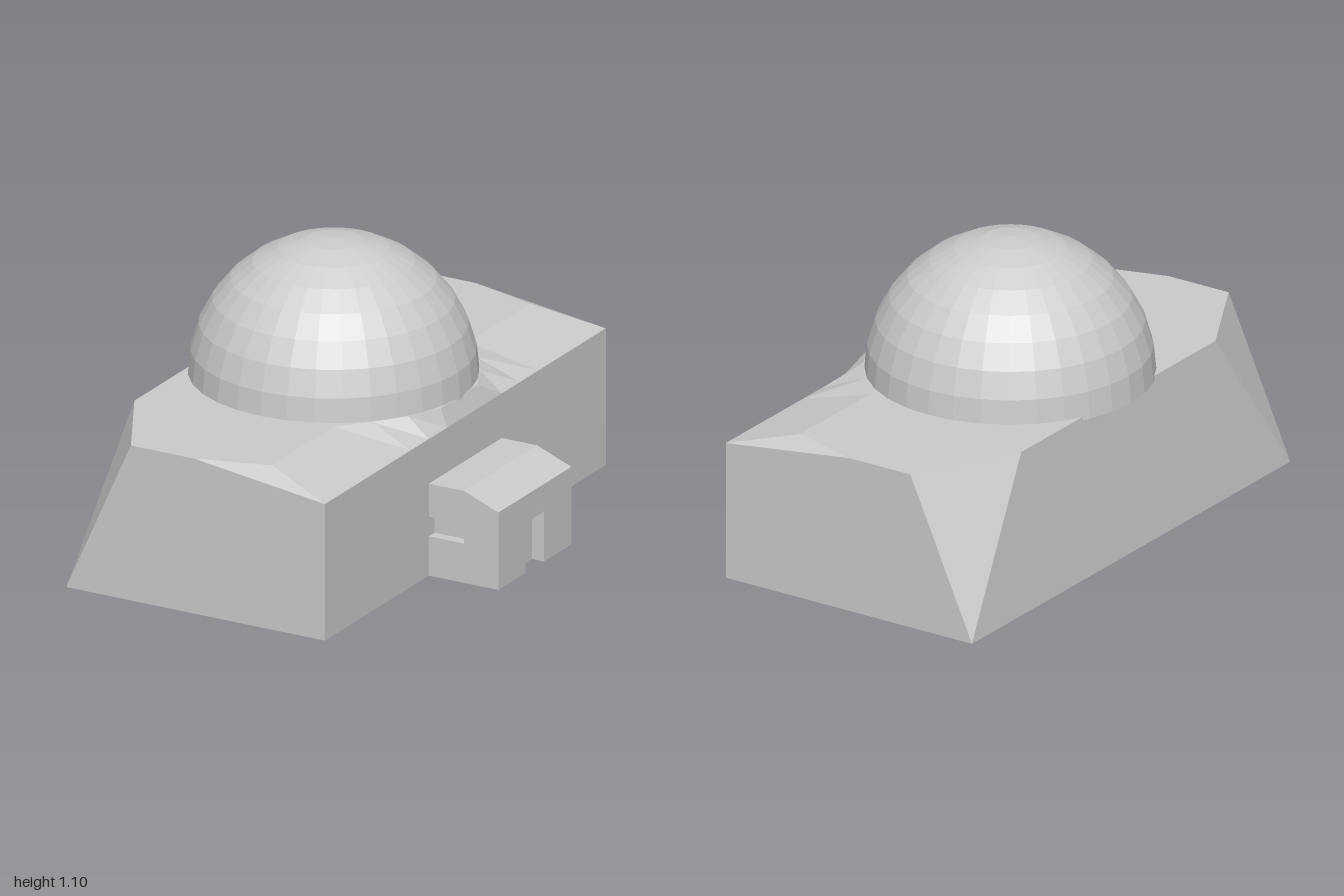
import * as THREE from 'three';

const mat = new THREE.MeshStandardMaterial({ color: 0xcccccc, flatShading: true, side: THREE.DoubleSide });
const H = 0.59, EAVE = 0.52;

function addMesh(parent, name, geometry) {
  const mesh = new THREE.Mesh(geometry, mat);
  mesh.name = name;
  parent.add(mesh);
  return mesh;
}

// Fans of triangles, each turned to face away from the middle of the block
function facetedGeometry(faces) {
  const inside = new THREE.Vector3(-0.1, 0.3, 0);
  const out = [];
  for (const face of faces) {
    const p = face.map((c) => new THREE.Vector3(...c));
    for (let i = 1; i < p.length - 1; i++) {
      const [a, b, c] = [p[0], p[i], p[i + 1]];
      const n = b.clone().sub(a).cross(c.clone().sub(a));
      const outward = n.dot(a.clone().sub(inside)) > 0;
      for (const v of outward ? [a, b, c] : [a, c, b]) out.push(v.x, v.y, v.z);
    }
  }
  const g = new THREE.BufferGeometry();
  g.setAttribute('position', new THREE.Float32BufferAttribute(out, 3));
  g.computeVertexNormals();
  return g;
}

// Main block: leaning back wall, clipped corners, roof slope that wraps the dome
function hallGeometry() {
  const L = -0.675, R = 0.385, T = -0.62;
  const faces = [
    [[L, 0, 1], [R, 0, 1], [R, 0, -1], [L, 0, -1]],
    [[R, 0, 1], [R, EAVE, 1], [R, EAVE, -1], [R, 0, -1]],
    [[L, 0, 1], [T, H, 0.61], [T, H, -0.61], [L, 0, -1]],
  ];
  for (const s of [1, -1]) {
    faces.push(
      [[L, 0, s], [R, 0, s], [R, EAVE, s], [-0.15, H, s], [-0.41, H, s]],
      [[L, 0, s], [T, H, 0.61 * s], [-0.41, H, s]],
      [[-0.15, H, s], [0.12, H, 0.92 * s], [R, EAVE, s]],
    );
  }
  // Top and bottom edges of the sloping strip: x, z of ridge, then z of eave
  const half = [[0.12, 0.92, 1], [0.12, 0.48, 0.52], [0.215, 0.37, 0.39], [0.3, 0.26, 0.26], [0.36, 0.13, 0.13]];
  const strip = [...half, ...half.slice().reverse().map(([x, z, e]) => [x, -z, -e])];
  for (let i = 0; i < strip.length - 1; i++) {
    const [x0, z0, e0] = strip[i], [x1, z1, e1] = strip[i + 1];
    faces.push([[x0, H, z0], [R, EAVE, e0], [R, EAVE, e1], [x1, H, z1]]);
  }
  // Flat roof, fanned from below the dome
  const rim = [[T, -0.61], [T, 0.61], [-0.41, 1], [-0.15, 1], ...strip, [-0.15, -1], [-0.41, -1], [T, -0.61]];
  faces.push([[-0.155, H, 0], ...rim.map(([x, z]) => [x, H, z])]);
  return facetedGeometry(faces);
}

// x-y outline extruded from z0 to z1
function slab(points, z0, z1) {
  const shape = new THREE.Shape(points.map(([x, y]) => new THREE.Vector2(x, y)));
  return new THREE.ExtrudeGeometry(shape, { depth: z1 - z0, bevelEnabled: false }).translate(0, 0, z0);
}

function createPorch() {
  const porch = new THREE.Group();
  porch.name = 'porch';
  const x0 = 0.385, x1 = 0.67, kink = 0.53, top = 0.35, low = 0.295;
  const W = 0.26, inner = 0.22, doorX = 0.62, doorZ = 0.065, doorH = 0.19;
  const doorTop = top - ((top - low) * (doorX - kink)) / (x1 - kink);
  addMesh(porch, 'porchCore',
    slab([[x0, 0], [doorX, 0], [doorX, doorTop], [kink, top], [x0, top]], -inner, inner));

  // Side walls with a window recess against the main block
  const side = [[x0, 0], [x1, 0], [x1, low], [kink, top], [x0, top], [x0, 0.225], [kink, 0.225], [kink, 0.15], [x0, 0.15]];
  addMesh(porch, 'leftSideWall', slab(side, inner, W));
  addMesh(porch, 'rightSideWall', slab(side, -W, -inner));

  // Entrance wall: two piers and a lintel around the door recess
  const front = (y) => [[doorX, y], [x1, y], [x1, low], [doorX, doorTop]];
  addMesh(porch, 'leftDoorPier', slab(front(0), doorZ, inner));
  addMesh(porch, 'rightDoorPier', slab(front(0), -inner, -doorZ));
  addMesh(porch, 'doorLintel', slab(front(doorH), -doorZ, doorZ));
  return porch;
}

export function createModel() {
  const model = new THREE.Group();
  model.name = 'domedBuilding';
  addMesh(model, 'hall', hallGeometry());

  const dome = addMesh(model, 'dome',
    new THREE.SphereGeometry(0.52, 32, 8, 0, Math.PI * 2, 0, Math.PI / 2));
  dome.position.set(-0.155, 0.578, 0);

  model.add(createPorch());
  return model;
}
